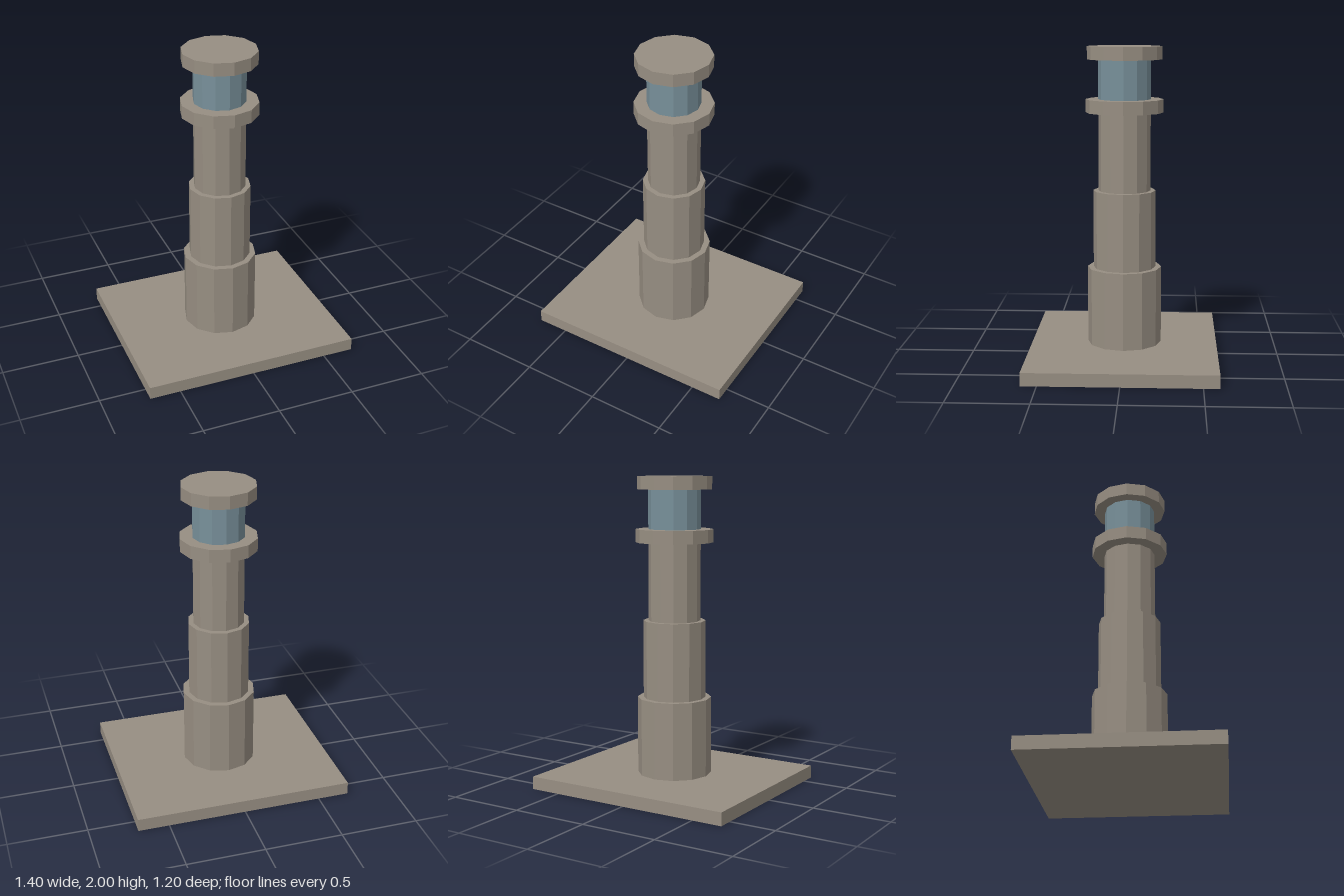
import * as THREE from 'three';

export function createModel() {
  const group = new THREE.Group();
  group.name = 'lighthouse';

  const stone = new THREE.MeshStandardMaterial({ color: 0x978e82, flatShading: true });
  stone.name = 'stone';
  const glass = new THREE.MeshStandardMaterial({ color: 0x78909a, flatShading: true });
  glass.name = 'glass';

  // Rectangular ground slab
  const base = new THREE.Mesh(new THREE.BoxGeometry(1.4, 0.083, 1.2), stone);
  base.name = 'baseSlab';
  base.position.y = 0.0415;
  group.add(base);

  // Twelve-sided sections stacked from the slab upwards: name, radius, bottom, top
  const sections = [
    ['lowerTower', 0.238, 0.083, 0.583, stone],
    ['middleTower', 0.2, 0.583, 1.083, stone],
    ['upperTower', 0.167, 1.083, 1.583, stone],
    ['gallery', 0.248, 1.583, 1.667, stone],
    ['lanternRoom', 0.167, 1.667, 1.917, glass],
    ['roofCap', 0.238, 1.917, 2, stone],
  ];
  for (const [name, radius, bottom, top, material] of sections) {
    const geometry = new THREE.CylinderGeometry(radius, radius, top - bottom, 12);
    const mesh = new THREE.Mesh(geometry, material);
    mesh.name = name;
    mesh.position.y = (bottom + top) / 2;
    group.add(mesh);
  }

  return group;
}
